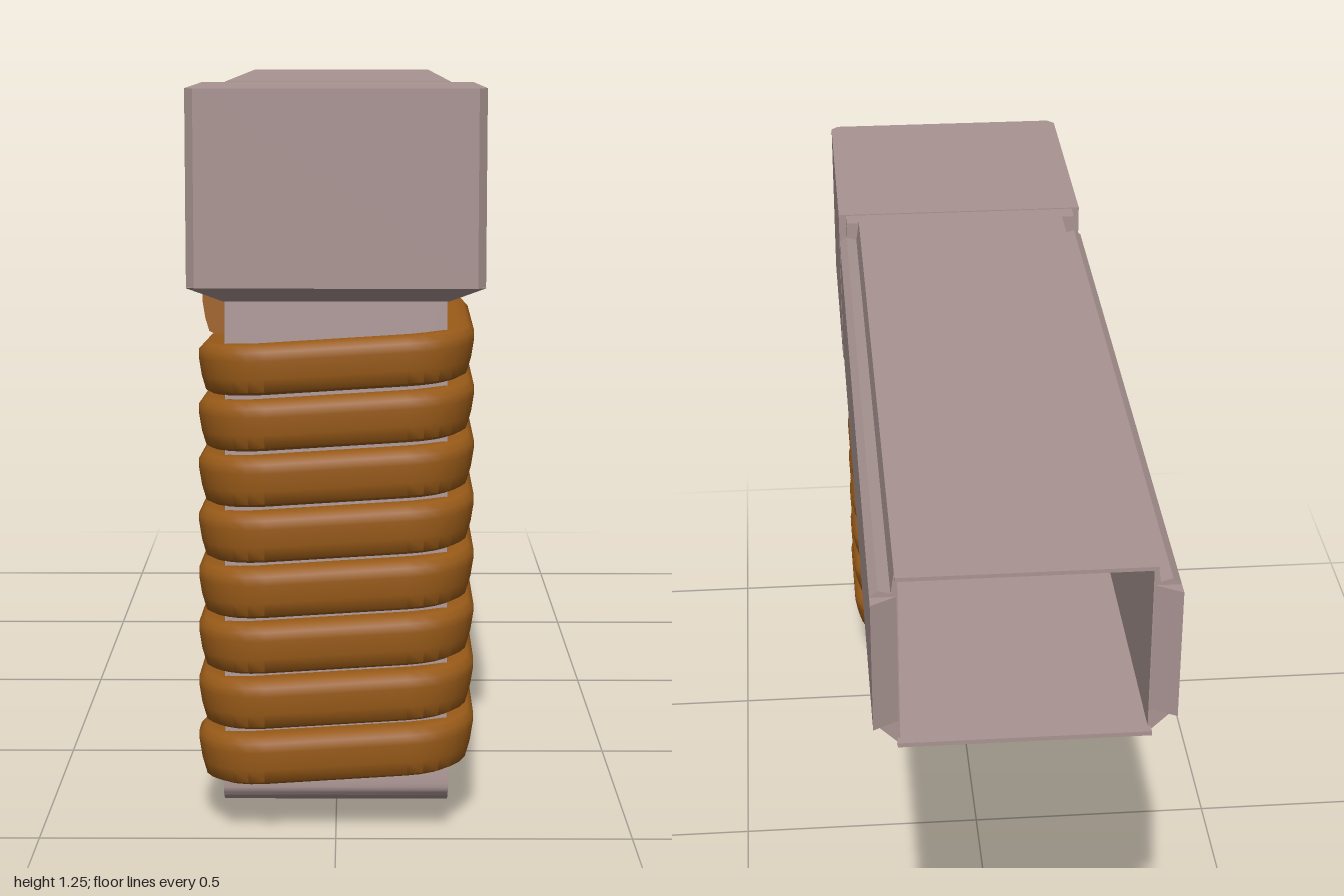
import * as THREE from 'three';
import { toCreasedNormals } from 'three/addons/utils/BufferGeometryUtils.js';

const mat = (color) => new THREE.MeshStandardMaterial({ color });
const body = mat(0xa89492), leather = mat(0x985a18), pink = mat(0xd87cc0), blue = mat(0x3a44c8);

const shapeOf = (pts) => new THREE.Shape(pts.map(([x, y]) => new THREE.Vector2(x, y)));
const extrude = (shape, depth) => new THREE.ExtrudeGeometry(shape, { depth, bevelEnabled: false });

// Side profile of [z, y] points given a width along x
const sideProfile = (pts, width) =>
  extrude(shapeOf(pts), width).translate(0, 0, -width / 2).rotateY(-Math.PI / 2);

// Plan outline of [x, z] points raised from y0 to y1
const plan = (pts, y0, y1) => extrude(shapeOf(pts), y1 - y0).rotateX(Math.PI / 2).translate(0, y1, 0);

// Smooth points through a few controls
const smooth = (pts, n) =>
  new THREE.SplineCurve(pts.map(([a, b]) => new THREE.Vector2(a, b))).getPoints(n).map((p) => [p.x, p.y]);

const box = (x0, x1, y0, y1, z0, z1) =>
  new THREE.BoxGeometry(x1 - x0, y1 - y0, z1 - z0).translate((x0 + x1) / 2, (y0 + y1) / 2, (z0 + z1) / 2);

// Centre line of the leaning grip
const gripZ = (y) => 0.775 - 0.104 * y;

// One flat band wound eight times round the grip
function wrapGeometry() {
  const section = [[-0.02, -0.038], [0.022, -0.044], [0.034, -0.038], [0.041, -0.015], [0.046, 0.015],
    [0.046, 0.03], [0.036, 0.041], [0.022, 0.043], [-0.02, 0.038]];
  const half = 0.12, radius = 0.07, pitch = 0.0935, turns = 8, steps = 6;
  const path = [{ t: 0.03, phi: 0, x: -half, z: 0.06 }];
  for (let k = 0; k < turns * 4; k++) {
    const q = k % 4;
    for (let s = 0; s <= steps; s++) {
      path.push({
        t: (k + 0.32 + (0.36 * s) / steps) / 4,
        phi: ((q + s / steps) * Math.PI) / 2,
        x: q === 0 || q === 3 ? -half : half,
        z: q < 2 ? half : -half,
      });
    }
  }
  path.push({ t: turns, phi: 0, x: -half, z: 0.02 });

  const pos = [], idx = [], n = section.length;
  for (const p of path) {
    for (const [o, v] of section) {
      const y = 0.117 + pitch * p.t + v;
      pos.push(p.x - Math.cos(p.phi) * (radius + o), y, gripZ(y) + p.z + Math.sin(p.phi) * (radius + o));
    }
  }
  for (let i = 0; i < path.length - 1; i++) {
    for (let j = 0; j < n; j++) {
      const a = i * n + j, b = i * n + ((j + 1) % n);
      idx.push(a, a + n, b, b, a + n, b + n);
    }
  }
  const last = (path.length - 1) * n;
  for (let j = 1; j < n - 1; j++) idx.push(0, j, j + 1, last, last + j + 1, last + j);
  const g = new THREE.BufferGeometry();
  g.setAttribute('position', new THREE.Float32BufferAttribute(pos, 3));
  g.setIndex(idx);
  return toCreasedNormals(g, 0.9);
}

export function createModel() {
  const model = new THREE.Group();
  const add = (name, geometry, material) => {
    const mesh = new THREE.Mesh(geometry, material);
    mesh.name = name;
    model.add(mesh);
    return mesh;
  };

  // Hollow barrel housing with stepped top edges and chamfered lower edges
  const right = [[0.21, 0.928], [0.25, 0.968], [0.25, 1.21], [0.236, 1.222], [0.216, 1.216], [0.21, 1.255]];
  const housing = shapeOf([...right, ...right.map(([x, y]) => [-x, y]).reverse()]);
  housing.holes.push(new THREE.Path(
    [[-0.205, 0.936], [-0.205, 1.248], [0.205, 1.248], [0.205, 0.936]].map(([x, y]) => new THREE.Vector2(x, y))));
  add('barrelHousing', extrude(housing, 1.375).translate(0, 0, -0.975), body);

  // Muzzle lips: flared at the sides, thin plates above and below
  add('muzzleLipLeft', plan([[0.207, -0.975], [0.25, -0.975], [0.25, -1]], 0.97, 1.21), body);
  add('muzzleLipRight', plan([[-0.207, -0.975], [-0.25, -0.975], [-0.25, -1]], 0.97, 1.21), body);
  add('muzzleLipTop', box(-0.21, 0.21, 1.248, 1.255, -0.992, -0.975), body);
  add('muzzleLipBottom', box(-0.21, 0.21, 0.928, 0.936, -0.992, -0.975), body);

  // Neck joining the housing to the rear block
  add('neck', box(-0.235, 0.235, 0.928, 1.253, 0.395, 0.44), body);

  // Rear block with small corner chamfers
  add('rearBlock', plan([[-0.25, 0.435], [0.25, 0.435], [0.25, 0.915], [0.236, 0.93], [-0.236, 0.93], [-0.25, 0.915]],
    0.925, 1.255), body);

  // Tapered collar under the rear block
  const collar = new THREE.BoxGeometry(1, 1, 1);
  const cp = collar.attributes.position;
  for (let i = 0; i < cp.count; i++) {
    const top = cp.getY(i) > 0;
    cp.setXYZ(i, cp.getX(i) * (top ? 0.5 : 0.38), top ? 0.926 : 0.897, 0.684 + cp.getZ(i) * (top ? 0.492 : 0.376));
  }
  collar.computeVertexNormals();
  add('collar', collar, body);

  // Leaning grip core
  const core = box(-0.188, 0.188, 0.08, 0.91, -0.187, 0.187);
  const kp = core.attributes.position;
  for (let i = 0; i < kp.count; i++) kp.setZ(i, kp.getZ(i) + gripZ(kp.getY(i)));
  core.computeVertexNormals();
  add('gripCore', core, body);

  // Base plate with curved underside and front lip
  const base = [
    [0.583, 0.13], [0.578, 0.068], ...smooth([[0.562, 0.066], [0.55, 0.052], [0.55, 0.018], [0.56, 0.003]], 8),
    ...smooth([[0.6, 0.001], [0.755, 0.01], [0.89, 0.036], [0.952, 0.062], [0.958, 0.09]], 16), [0.95, 0.13],
  ];
  add('basePlate', toCreasedNormals(sideProfile(base, 0.38), 0.6), body);

  add('gripWrap', wrapGeometry(), leather);

  // Trigger guard sweeping from the grip up to a small lip under the housing
  const guard = [
    ...smooth([[0.52, 0.625], [0.4, 0.63], [0.33, 0.652], [0.26, 0.71], [0.2, 0.8], [0.155, 0.89]], 20),
    [0.11, 0.89], [0.11, 0.932],
    ...smooth([[0.168, 0.932], [0.245, 0.81], [0.33, 0.738], [0.41, 0.705], [0.52, 0.695]], 20),
  ];
  add('triggerGuard', toCreasedNormals(sideProfile(guard, 0.25), 0.6), pink);

  // Curved trigger
  const trigger = [
    ...smooth([[0.414, 0.935], [0.413, 0.87], [0.4, 0.81], [0.378, 0.765]], 10),
    ...smooth([[0.358, 0.765], [0.366, 0.82], [0.368, 0.87], [0.36, 0.935]], 10),
  ];
  add('trigger', toCreasedNormals(sideProfile(trigger, 0.08), 0.6), blue);

  return model;
}
